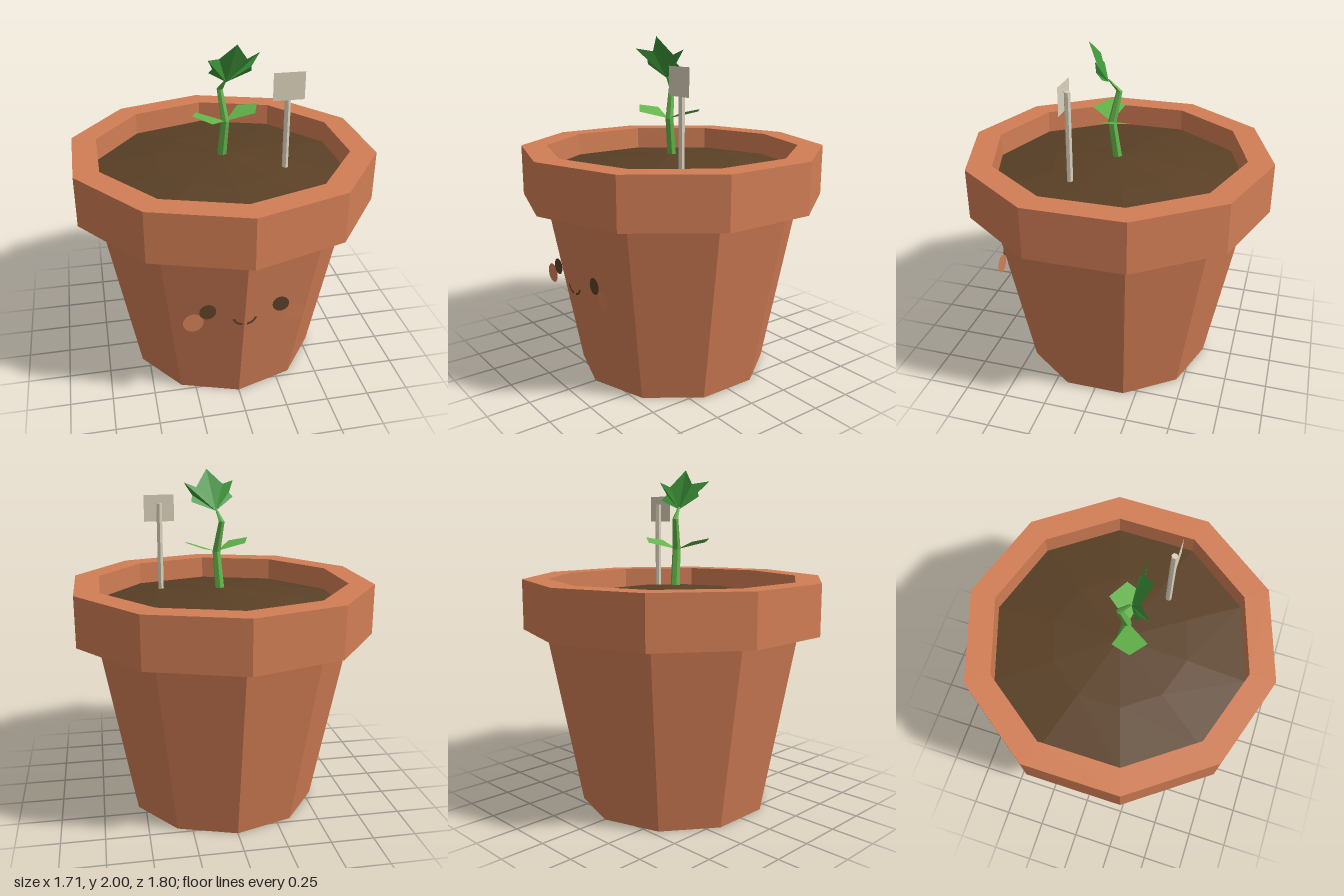
import * as THREE from 'three';

const mat = (name, color, side = THREE.FrontSide) => {
  const m = new THREE.MeshStandardMaterial({ color, side, flatShading: true });
  m.name = name;
  return m;
};

export function createModel() {
  const terracotta = mat('terracotta', 0xd27e55, THREE.DoubleSide);
  const soilBrown = mat('soil brown', 0x5a4026, THREE.DoubleSide);
  const leafGreen = mat('light green', 0x64b54b, THREE.DoubleSide);
  const deepGreen = mat('deep green', 0x3f983b, THREE.DoubleSide);
  const signBeige = mat('sign beige', 0xdcd3bd, THREE.DoubleSide);

  const model = new THREE.Group();
  const add = (name, geometry, material, x = 0, y = 0, z = 0) => {
    const mesh = new THREE.Mesh(geometry, material);
    mesh.name = name;
    mesh.position.set(x, y, z);
    model.add(mesh);
    return mesh;
  };
  const lathe = pts => new THREE.LatheGeometry(pts.map(p => new THREE.Vector2(...p)), 10);
  // Triangle fan from a root point through an outline
  const fan = (root, outline) => {
    const pos = [];
    for (let i = 0; i < outline.length - 1; i++) pos.push(...root, ...outline[i], ...outline[i + 1]);
    const g = new THREE.BufferGeometry();
    g.setAttribute('position', new THREE.Float32BufferAttribute(pos, 3));
    g.computeVertexNormals();
    return g;
  };

  // Ten-sided pot with a thick rim, and slightly mounded soil
  add('pot', lathe([[0, 0], [0.57, 0], [0.773, 1.07]]), terracotta);
  add('rim', lathe([[0.77, 1.07], [0.9, 1.07], [0.9, 1.365], [0.75, 1.365], [0.75, 1.2]]), terracotta);
  add('soil', lathe([[0.75, 1.23], [0.4, 1.285], [0, 1.32]]), soilBrown);

  // Face: flat eyes, cheeks and a two-stroke mouth
  for (const s of [-1, 1]) {
    add('cheek', new THREE.CircleGeometry(0.057, 24), terracotta, s * 0.285, 0.622, 0.676);
    add('eye', new THREE.CircleGeometry(0.047, 24), soilBrown, s * 0.205, 0.685, 0.679);
    const start = s < 0 ? Math.PI * 1.1 : Math.PI * 1.53;
    add('mouth', new THREE.RingGeometry(0.052, 0.065, 8, 1, start, Math.PI * 0.37),
      soilBrown, s * 0.007, 0.642, 0.688);
  }

  // Bent, tapering stem: rings follow [x, y, z, radius]
  const rings = [[0.02, 1.78, 0.055, 0.006], [-0.005, 1.71, 0, 0.018],
    [0.02, 1.53, 0.035, 0.025], [0.003, 1.28, 0.005, 0.029]];
  const stem = new THREE.CylinderGeometry(1, 1, 3, 6, 3);
  const p = stem.attributes.position;
  for (let i = 0; i < p.count; i++) {
    const [x, y, z, r] = rings[Math.round(1.5 - p.getY(i))];
    p.setXYZ(i, x + p.getX(i) * r, y, z + p.getZ(i) * r);
  }
  stem.computeVertexNormals();
  add('stem', stem, leafGreen);

  // Two side leaves, opposite each other
  for (const turn of [0, Math.PI]) {
    const leaf = add('sideLeaf', fan([0, 0, 0],
      [[0.1, 0.04, -0.14], [0.2, 0.068, -0.07], [0.165, 0.05, 0.04]]), leafGreen, 0.02, 1.53, 0.04);
    leaf.rotation.y = turn;
  }

  // Pointed top leaf leaning forward
  add('topLeaf', fan([0.02, 1.765, 0.055], [
    [0.165, 1.82, 0.05], [0.155, 1.855, 0.085], [0.205, 1.93, 0.075], [0.13, 1.9, 0.09],
    [0.06, 2.0, 0.155], [-0.03, 1.915, 0.115], [-0.105, 1.93, 0.185],
    [-0.07, 1.865, 0.125], [-0.09, 1.84, 0.11]]), deepGreen);

  // Blank plant marker
  add('signPost', new THREE.CylinderGeometry(0.018, 0.018, 0.56, 6), signBeige, 0.34, 1.52, 0.188);
  add('signPlate', new THREE.PlaneGeometry(0.18, 0.158), signBeige, 0.34, 1.77, 0.208);

  return model;
}
